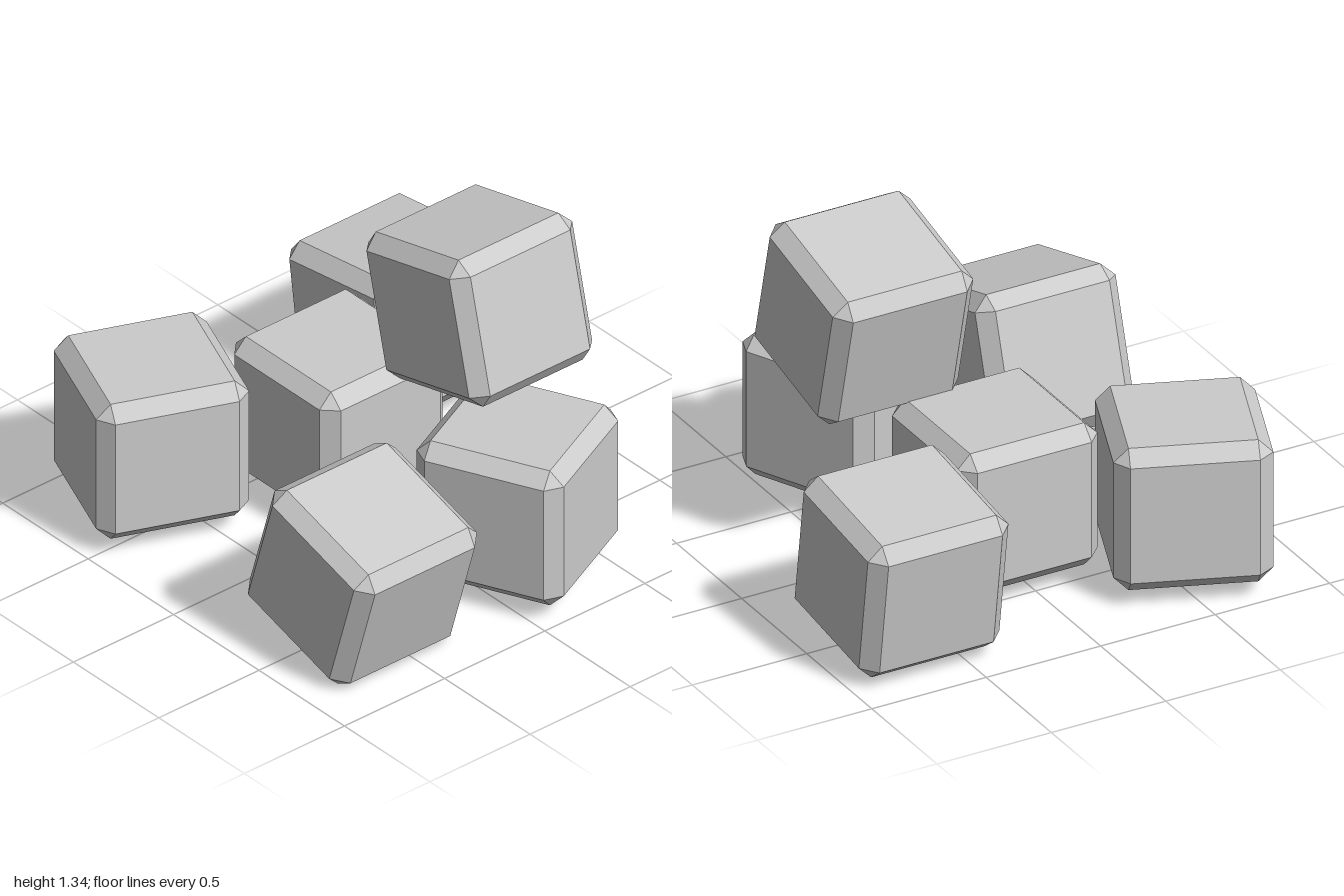
import * as THREE from 'three';
import { ConvexGeometry } from 'three/addons/geometries/ConvexGeometry.js';

const HALF = 0.307;  // half the cube's side
const BEVEL = 0.058; // chamfer width

// Cube with flat chamfered edges and triangular corners
function chamferedCube() {
  const inner = HALF - BEVEL;
  const points = [];
  for (const x of [-1, 1]) for (const y of [-1, 1]) for (const z of [-1, 1]) {
    points.push(
      new THREE.Vector3(x * HALF, y * inner, z * inner),
      new THREE.Vector3(x * inner, y * HALF, z * inner),
      new THREE.Vector3(x * inner, y * inner, z * HALF),
    );
  }
  return new ConvexGeometry(points);
}

export function createModel() {
  const model = new THREE.Group();
  model.name = 'cubePile';
  const geometry = chamferedCube();
  const material = new THREE.MeshStandardMaterial({ color: 0xcccccc, flatShading: true });

  // Name, centre, turn about y and tilt about z in degrees
  const cubes = [
    ['centreCube', [-0.253, 0.372, -0.038], 0, 0],
    ['frontRightCube', [-0.622, 0.372, 0.58], -21.6, 0],
    ['backRightCube', [-0.622, 0.372, -0.655], 0, 8],
    ['topCube', [0.212, 0.988, -0.345], 0, 13.5],
    ['frontLeftCube', [0.615, 0.372, 0.582], 0, -16.8],
    ['backLeftCube', [0.615, 0.372, -0.192], 25, 0],
  ];
  for (const [name, centre, turn, tilt] of cubes) {
    const cube = new THREE.Mesh(geometry, material);
    cube.name = name;
    cube.position.set(...centre);
    cube.rotation.set(0, THREE.MathUtils.degToRad(turn), THREE.MathUtils.degToRad(tilt));
    model.add(cube);
  }
  return model;
}
